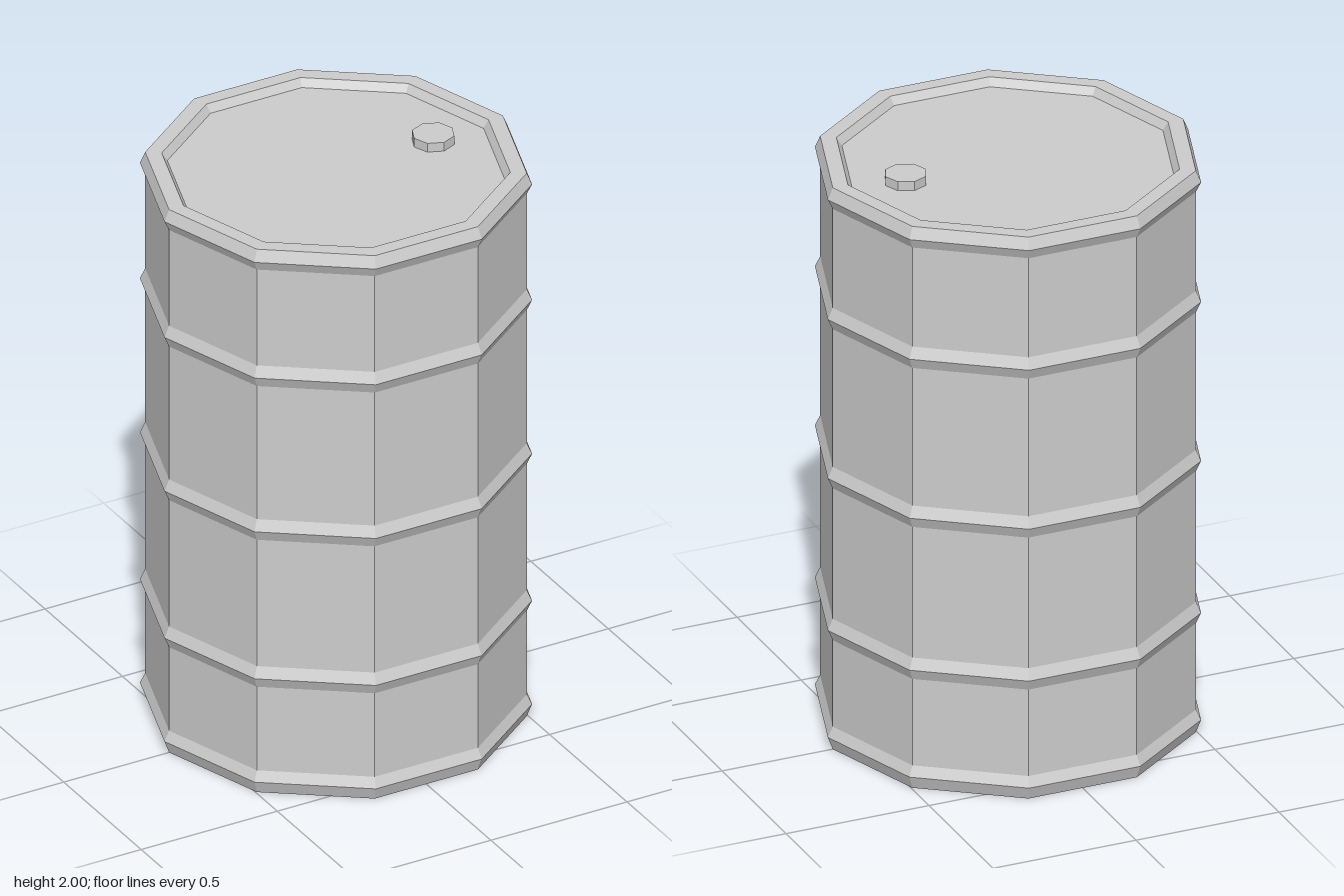
import * as THREE from 'three';

const SIDES = 10;
const BODY_R = 0.613;
const RIDGE_R = 0.63;

export function createModel() {
  const drum = new THREE.Group();
  drum.name = 'drum';
  const material = new THREE.MeshStandardMaterial({ color: 0xcccccc, flatShading: true });

  // Profile from the centre of the base, up the ridged wall, to the sunken lid
  const profile = [[0, 0], [0.565, 0], [BODY_R, 0], [RIDGE_R, 0.045], [BODY_R, 0.08]];
  for (const y of [0.425, 0.965, 1.53]) {
    profile.push([BODY_R, y - 0.038], [RIDGE_R, y], [BODY_R, y + 0.038]);
  }
  profile.push([BODY_R, 1.92], [RIDGE_R, 1.955], [BODY_R, 1.995]);
  profile.push([0.56, 1.995], [0.542, 1.968], [0, 1.968]);

  // Ten-sided shell with a corner on the x axis
  const shell = new THREE.Mesh(
    new THREE.LatheGeometry(profile.map(([r, y]) => new THREE.Vector2(r, y)), SIDES, Math.PI / 2),
    material
  );
  shell.name = 'barrelShell';
  drum.add(shell);

  // Filler cap on the lid
  const cap = new THREE.Mesh(new THREE.CylinderGeometry(0.07, 0.07, 0.036, 8), material);
  cap.name = 'fillerCap';
  cap.position.set(0.36, 1.982, -0.005);
  drum.add(cap);

  return drum;
}
